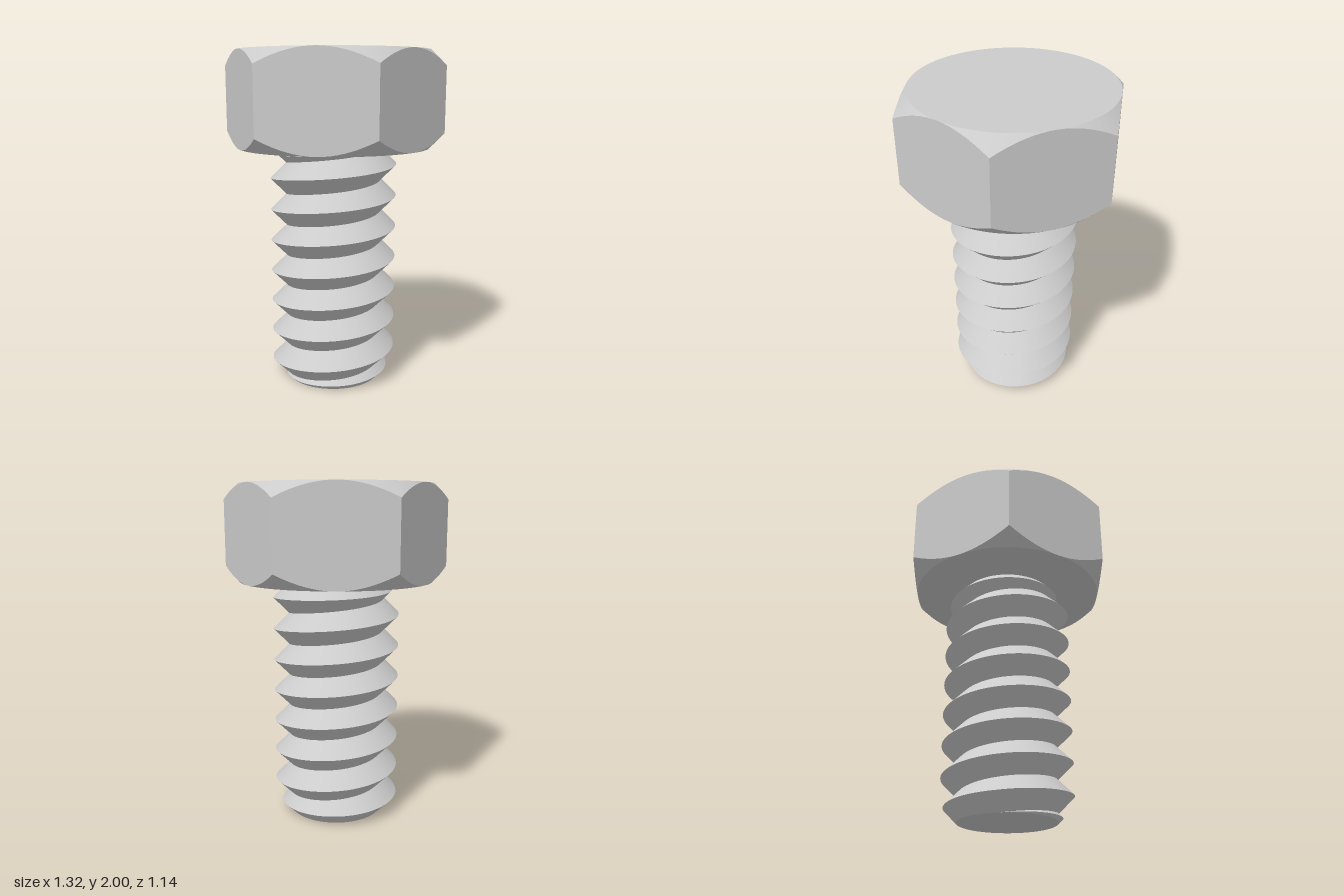
import * as THREE from 'three';
import { mergeGeometries } from 'three/addons/utils/BufferGeometryUtils.js';

const HEAD_BOTTOM = 1.435, HEAD_TOP = 2, APOTHEM = 0.572;
const ROOT_RADIUS = 0.285, PITCH = 0.19, ROOT_START = -0.09;
const SEGMENTS = 96;

// Point at an angle (counter-clockwise from above), radius and height
const polar = (angle, r, y) => [r * Math.cos(angle), y, -r * Math.sin(angle)];

// Smooth ribbon between a lower and an upper edge, facing outwards
function ribbon(from, to, count, lower, upper) {
  const positions = [], index = [];
  for (let i = 0; i <= count; i++) {
    const angle = from + (to - from) * i / count;
    positions.push(...lower(angle), ...upper(angle));
    if (i < count) {
      const a = 2 * i;
      index.push(a, a + 2, a + 3, a, a + 3, a + 1);
    }
  }
  const geometry = new THREE.BufferGeometry();
  geometry.setAttribute('position', new THREE.Float32BufferAttribute(positions, 3));
  geometry.setIndex(index);
  geometry.computeVertexNormals();
  return geometry;
}

// Flat disc facing up (1) or down (-1)
function disc(radius, y, facing) {
  const geometry = new THREE.CircleGeometry(radius, SEGMENTS);
  geometry.rotateX(-facing * Math.PI / 2);
  geometry.translate(0, y, 0);
  geometry.deleteAttribute('uv');
  return geometry;
}

// Hexagonal head with 45 degree conical chamfers above and below
function headGeometry() {
  const side = Math.PI / 3;
  const hexRadius = a => APOTHEM / Math.cos(a - (Math.floor(a / side + 1e-9) + 0.5) * side);
  const drop = a => hexRadius(a) - APOTHEM;
  const lowEdge = a => polar(a, hexRadius(a), HEAD_BOTTOM + drop(a));
  const highEdge = a => polar(a, hexRadius(a), HEAD_TOP - drop(a));
  const lowCircle = a => polar(a, APOTHEM, HEAD_BOTTOM);
  const highCircle = a => polar(a, APOTHEM, HEAD_TOP);

  const parts = [disc(APOTHEM, HEAD_TOP, 1), disc(APOTHEM, HEAD_BOTTOM, -1)];
  for (let i = 0; i < 6; i++) {
    parts.push(ribbon(i * side, (i + 1) * side, SEGMENTS / 6, lowEdge, highEdge));
  }
  // Chamfer seams sit at the middle of a side, where the cone has no width
  const start = side / 2, end = start + Math.PI * 2;
  parts.push(ribbon(start, end, SEGMENTS, lowCircle, lowEdge));
  parts.push(ribbon(start, end, SEGMENTS, highEdge, highCircle));
  return mergeGeometries(parts);
}

// Right-handed V thread; its grooves are clamped to the shank, which bevels both ends
function threadGeometry() {
  const rootY = a =>
    THREE.MathUtils.clamp(ROOT_START + PITCH * a / (Math.PI * 2), 0, HEAD_BOTTOM);
  const lowerRoot = a => polar(a, ROOT_RADIUS, rootY(a));
  const upperRoot = a => polar(a, ROOT_RADIUS, rootY(a + Math.PI * 2));
  const crest = a => {
    const y0 = rootY(a), y1 = rootY(a + Math.PI * 2);
    return polar(a, ROOT_RADIUS + (y1 - y0) / 2, (y0 + y1) / 2);
  };
  const from = -0.625 * Math.PI * 2, to = 8.125 * Math.PI * 2;
  const count = Math.round(8.75 * SEGMENTS);
  return mergeGeometries([
    ribbon(from, to, count, lowerRoot, crest),
    ribbon(from, to, count, crest, upperRoot),
    disc(ROOT_RADIUS, 0, -1),
  ]);
}

export function createModel() {
  const group = new THREE.Group();
  group.name = 'hexBolt';
  const material = new THREE.MeshStandardMaterial({ color: 0xcccccc });

  const head = new THREE.Mesh(headGeometry(), material);
  head.name = 'hexHead';
  const shank = new THREE.Mesh(threadGeometry(), material);
  shank.name = 'threadedShank';

  group.add(head, shank);
  return group;
}
